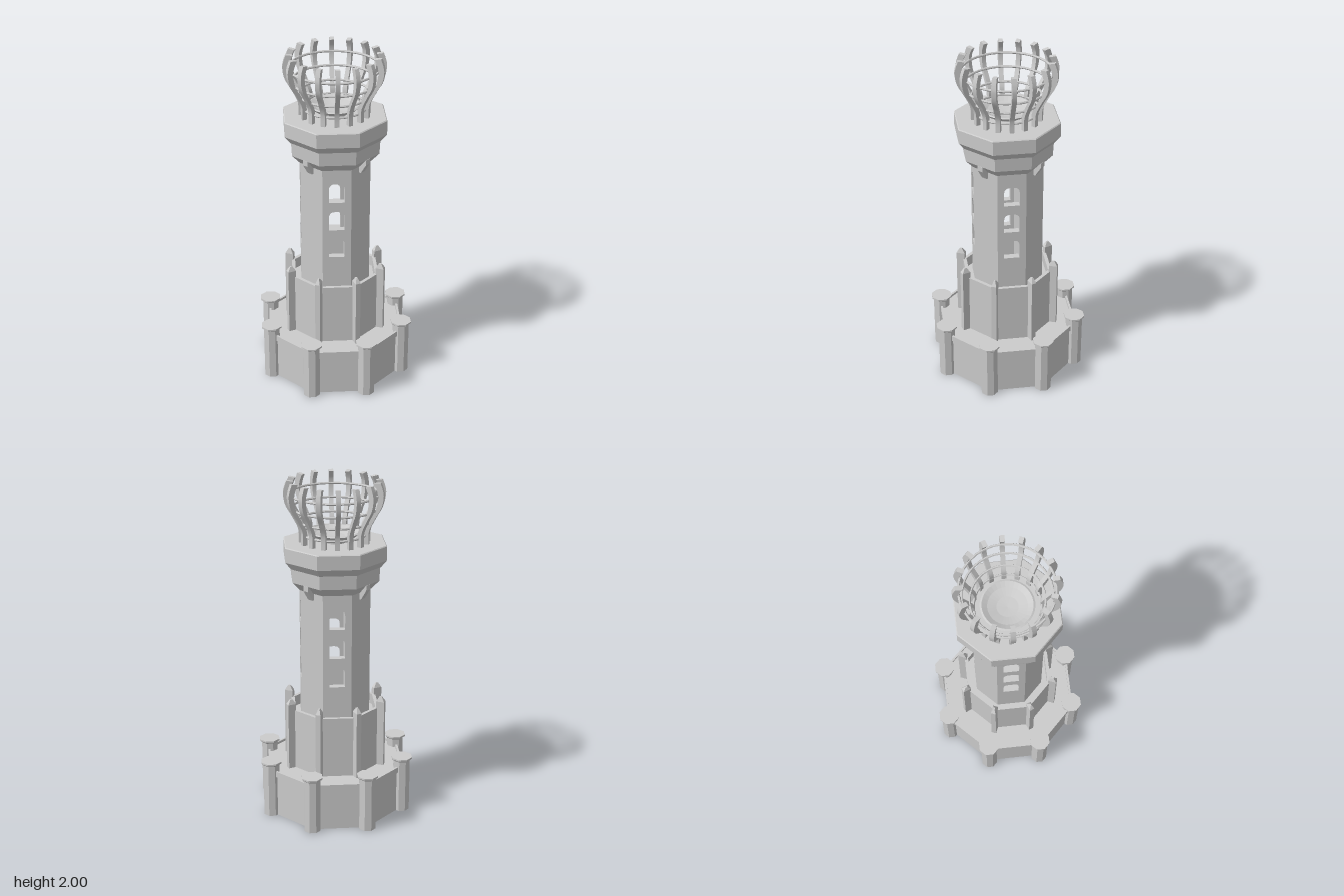
import * as THREE from 'three';

const grey = new THREE.MeshStandardMaterial({ color: 0xcccccc, flatShading: true, side: THREE.DoubleSide });
const EIGHTH = Math.PI / 4;

function add(parent, name, geometry) {
  const mesh = new THREE.Mesh(geometry, grey);
  mesh.name = name;
  parent.add(mesh);
  return mesh;
}

// Octagonal shell with flats facing the axes; profile holds [apothem, y] pairs
function octagon(profile) {
  const k = 1 / Math.cos(Math.PI / 8);
  const points = profile.map(([a, y]) => new THREE.Vector2(a * k, y));
  return new THREE.LatheGeometry(points, 8, Math.PI / 8);
}

// Copies of a part around the vertical axis; build(pivot) works along +z
function around(parent, name, count, start, build) {
  for (let i = 0; i < count; i++) {
    const pivot = new THREE.Group();
    pivot.name = name;
    pivot.rotation.y = start + (i * Math.PI * 2) / count;
    build(pivot, i);
    parent.add(pivot);
  }
}

// Flat side profile in (radius, y), given thickness and turned to run along +z
function fin(shape, width) {
  const g = new THREE.ExtrudeGeometry(shape, { depth: width, bevelEnabled: false, curveSegments: 14 });
  g.translate(0, 0, -width / 2);
  g.rotateY(-Math.PI / 2);
  return g;
}

// Window opening with a rounded head
function windowHole(y) {
  const w = 0.045, h = 0.118, r = 0.035;
  const p = new THREE.Path();
  p.moveTo(-w, y);
  p.lineTo(-w, y + h - r);
  p.quadraticCurveTo(-w, y + h, -w + r, y + h);
  p.lineTo(w - r, y + h);
  p.quadraticCurveTo(w, y + h, w, y + h - r);
  p.lineTo(w, y);
  p.closePath();
  return p;
}

function wallPanel(withWindows) {
  const half = 0.2 * Math.tan(Math.PI / 8), depth = 0.04;
  const s = new THREE.Shape();
  s.moveTo(-half, 0.58);
  s.lineTo(half, 0.58);
  s.lineTo(half, 1.4);
  s.lineTo(-half, 1.4);
  s.closePath();
  if (withWindows) s.holes = [0.82, 0.997, 1.174].map(windowHole);
  const g = new THREE.ExtrudeGeometry(s, { depth, bevelEnabled: false, curveSegments: 5 });
  g.translate(0, 0, 0.2 - depth);
  return g;
}

export function createModel() {
  const model = new THREE.Group();
  model.name = 'lighthouseTower';

  // Lower terrace, open underneath, with a low rim
  add(model, 'baseTerrace', octagon([
    [0.39, 0], [0.39, 0.25], [0.4, 0.255], [0.4, 0.29], [0.387, 0.29], [0.387, 0.275], [0, 0.275]]));

  // Corner posts with thin flared caps
  const postGeometry = octagon([
    [0.047, 0], [0.047, 0.325], [0.059, 0.336], [0.059, 0.346], [0, 0.346]]);
  for (let i = 0; i < 8; i++) {
    const a = (i + 0.5) * EIGHTH;
    add(model, 'basePost', postGeometry).position.set(0.422 * Math.sin(a), 0, 0.422 * Math.cos(a));
  }

  // Middle tier with a parapet around a sunken walkway
  add(model, 'middleTier', octagon([
    [0.255, 0.27], [0.255, 0.645], [0.235, 0.645], [0.235, 0.58], [0, 0.58]]));

  // Pointed pilasters on the middle tier corners
  around(model, 'pilaster', 8, EIGHTH / 2, (pivot) => {
    add(pivot, 'pilasterShaft', new THREE.BoxGeometry(0.03, 0.415, 0.05)).position.set(0, 0.4775, 0.287);
    const tip = new THREE.CylinderGeometry(0.2, Math.SQRT1_2, 1, 4, 1);
    tip.rotateY(Math.PI / 4);
    tip.scale(0.03, 0.03, 0.05);
    add(pivot, 'pilasterTip', tip).position.set(0, 0.7, 0.287);
  });

  // Tower shaft: eight thick walls, windows on every second one
  const windowed = wallPanel(true), plain = wallPanel(false);
  around(model, 'towerWall', 8, 0, (pivot, i) => add(pivot, 'wallPanel', i % 2 ? plain : windowed));

  // Two-step flared gallery
  add(model, 'gallery', octagon([
    [0, 1.38], [0.205, 1.38], [0.248, 1.43], [0.252, 1.51], [0.256, 1.512],
    [0.288, 1.555], [0.288, 1.637], [0.283, 1.642], [0, 1.642]]));

  // Brackets under the gallery on the diagonal faces
  const bracket = new THREE.Shape([
    [0.19, 1.34], [0.212, 1.34], [0.25, 1.4], [0.25, 1.43], [0.19, 1.43]].map(([x, y]) => new THREE.Vector2(x, y)));
  const bracketGeometry = fin(bracket, 0.035);
  around(model, 'galleryBracket', 4, EIGHTH, (pivot) => add(pivot, 'bracket', bracketGeometry));

  // Curved bars of the fire basket
  const vec = (list) => list.map(([x, y]) => new THREE.Vector2(x, y));
  const bar = new THREE.Shape();
  bar.moveTo(0.205, 1.64);
  bar.splineThru(vec([[0.208, 1.72], [0.24, 1.79], [0.279, 1.86], [0.291, 1.92], [0.286, 1.96], [0.272, 2]]));
  bar.lineTo(0.235, 1.995);
  bar.splineThru(vec([[0.254, 1.95], [0.257, 1.9], [0.243, 1.84], [0.207, 1.775], [0.181, 1.72], [0.178, 1.64]]));
  bar.closePath();
  const barGeometry = fin(bar, 0.026);
  around(model, 'basketBar', 16, 0, (pivot) => add(pivot, 'bar', barGeometry));

  // Hoops tying the bars together
  for (const [r, y] of [[0.184, 1.69], [0.203, 1.765], [0.242, 1.84], [0.257, 1.92]]) {
    const hoop = new THREE.TorusGeometry(r, 0.007, 6, 32);
    hoop.rotateX(Math.PI / 2);
    add(model, 'basketHoop', hoop).position.y = y;
  }

  // Shallow fire bowl on a foot
  add(model, 'fireBowl', new THREE.LatheGeometry(vec([
    [0.07, 1.64], [0.07, 1.665], [0.13, 1.68], [0.15, 1.7], [0.14, 1.704],
    [0.11, 1.688], [0.06, 1.676], [0, 1.672]]), 32));

  return model;
}
